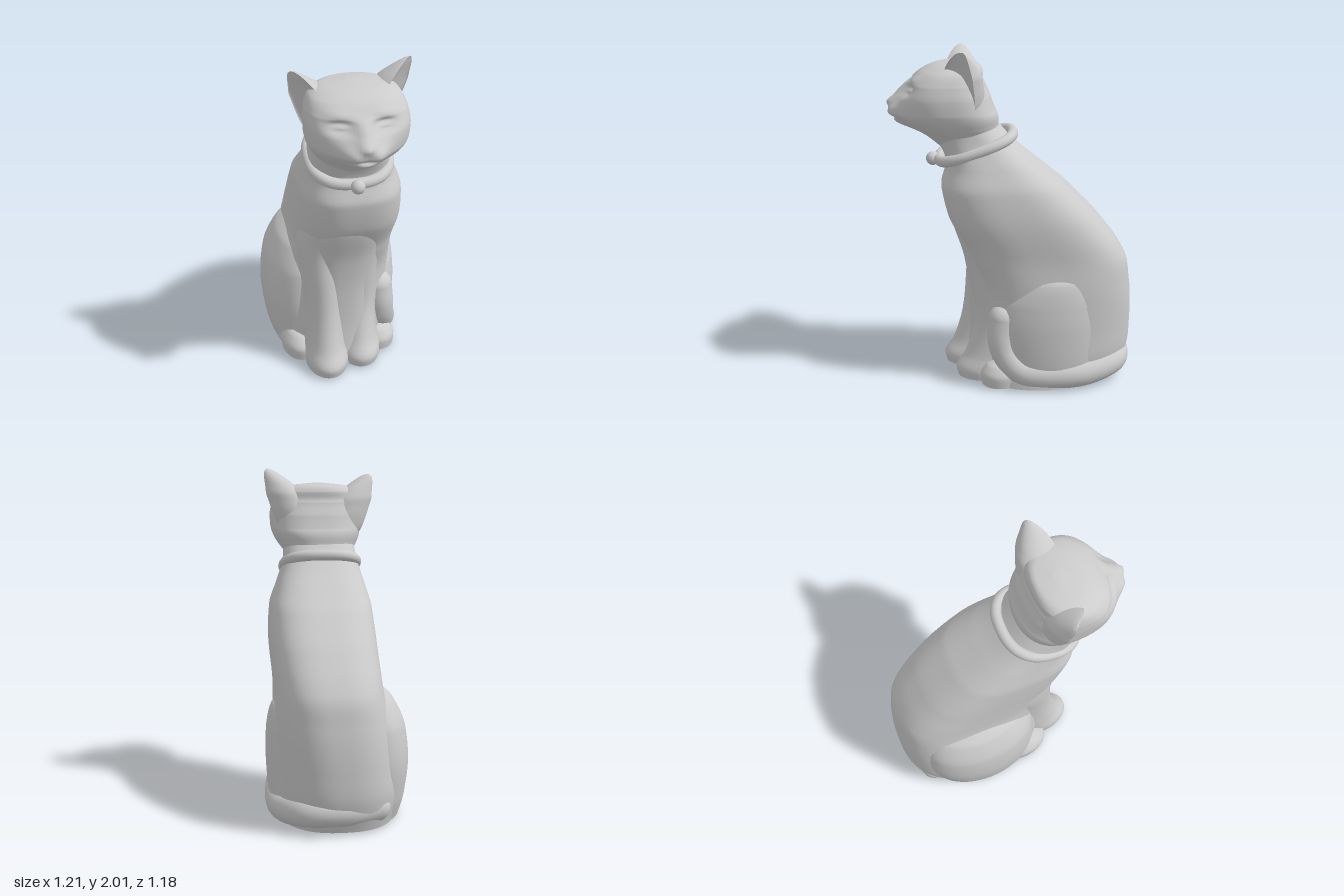
import * as THREE from 'three';

const material = new THREE.MeshStandardMaterial({ color: 0xcccccc, side: THREE.DoubleSide });

const signedPower = (v, e) => Math.sign(v) * Math.pow(Math.abs(v), e);

// Closed loft through superellipse rings [y, cx, cz, a, b, n], stacked upward.
// hollow < 1 flattens or dents the +z half of each ring; reshape may move each point.
function loft(rings, { rows = 40, cols = 48, hollow = 1, reshape = (p) => p } = {}) {
  const centres = new THREE.CatmullRomCurve3(rings.map(([y, cx, cz]) => new THREE.Vector3(cx, y, cz)));
  const sizes = new THREE.CatmullRomCurve3(rings.map(([, , , a, b, n = 2]) => new THREE.Vector3(a, b, n)));
  const pos = [], index = [];
  const ring = (t) => {
    const c = centres.getPoint(t), s = sizes.getPoint(t);
    for (let j = 0; j < cols; j++) {
      const th = (j / cols) * Math.PI * 2;
      const x = c.x + s.x * signedPower(Math.cos(th), 2 / s.z);
      const dz = s.y * signedPower(Math.sin(th), 2 / s.z);
      pos.push(...reshape([x, c.y, c.z + dz * (dz > 0 ? hollow : 1)]));
    }
    return c;
  };
  for (let i = 0; i <= rows; i++) ring(i / rows);
  for (let i = 0; i < rows; i++) {
    for (let j = 0; j < cols; j++) {
      const k = (j + 1) % cols;
      const p = i * cols + j, q = i * cols + k;
      index.push(p, p + cols, q, q, p + cols, q + cols);
    }
  }
  // Caps with their own vertices, so the base edge stays sharp
  for (const t of [0, 1]) {
    const start = pos.length / 3;
    const c = ring(t);
    pos.push(c.x, c.y, c.z);
    for (let j = 0; j < cols; j++) {
      const k = (j + 1) % cols;
      index.push(start + cols, start + (t ? k : j), start + (t ? j : k));
    }
  }
  const geometry = new THREE.BufferGeometry();
  geometry.setAttribute('position', new THREE.Float32BufferAttribute(pos, 3));
  geometry.setIndex(index);
  geometry.computeVertexNormals();
  return geometry;
}

// Relief of the face: [x, y, width, height, depth], mirrored where x > 0
const faceRelief = [
  [0, 1.635, 0.15, 0.08, 0.065],      // muzzle
  [0.065, 1.64, 0.055, 0.045, 0.035], // whisker pads
  [0, 1.69, 0.04, 0.03, 0.04],        // nose
  [0, 1.755, 0.05, 0.06, 0.04],       // nose bridge
  [0.115, 1.765, 0.06, 0.032, -0.035], // eye sockets
  [0.115, 1.762, 0.038, 0.012, 0.02], // closed eyelids
  [0.12, 1.82, 0.08, 0.03, 0.02],     // brows
  [0, 1.602, 0.075, 0.012, -0.022],   // mouth
  [0, 1.565, 0.08, 0.035, 0.05],      // chin
];

function sculptFace([x, y, z]) {
  const front = THREE.MathUtils.smoothstep(z, 0.42, 0.6);
  let depth = 0;
  for (const [bx, by, w, h, d] of faceRelief) {
    const dx = (bx > 0 ? Math.abs(x) : x) - bx;
    depth += d * Math.exp(-((dx / w) ** 2) - ((y - by) / h) ** 2);
  }
  return [x, y, z + front * depth];
}

export function createModel() {
  const model = new THREE.Group();
  model.name = 'seatedCat';
  const cat = new THREE.Group();
  cat.name = 'catBody';
  cat.rotation.y = Math.PI / 4; // the cat looks along the diagonal
  model.add(cat);

  const add = (name, geometry) => {
    const mesh = new THREE.Mesh(geometry, material);
    mesh.name = name;
    cat.add(mesh);
    return mesh;
  };
  const ball = (name, p, r) => add(name, new THREE.SphereGeometry(r, 24, 16)).position.set(...p);

  // Torso and neck, with a broad flat back
  add('torso', loft([
    [0, -0.03, -0.16, 0.34, 0.43, 2.4],
    [0.15, -0.03, -0.18, 0.36, 0.46, 2.4],
    [0.35, -0.02, -0.19, 0.35, 0.465, 2.5],
    [0.6, 0, -0.185, 0.33, 0.455, 2.7],
    [0.8, 0.015, -0.125, 0.31, 0.462, 2.9],
    [1.0, 0.025, 0, 0.312, 0.44, 2.9],
    [1.2, 0.02, 0.12, 0.3, 0.365, 2.9],
    [1.33, 0.01, 0.185, 0.262, 0.268, 2.8],
    [1.45, 0, 0.275, 0.228, 0.218, 2.6],
    [1.58, 0, 0.37, 0.215, 0.2, 2.3],
  ], { rows: 80, cols: 80 }));

  // Chest running down between the front legs
  add('chest', loft([
    [0, -0.02, 0.15, 0.2, 0.21, 2.4], [0.25, -0.02, 0.13, 0.19, 0.2, 2.4],
    [0.5, -0.02, 0.13, 0.195, 0.2, 2.4], [0.75, -0.01, 0.14, 0.23, 0.22, 2.4],
    [1.0, 0, 0.16, 0.24, 0.27, 2.4], [1.15, 0, 0.16, 0.2, 0.25, 2.4],
  ]));

  // Low base joining the paws
  add('base', loft([
    [0, -0.02, -0.1, 0.38, 0.44], [0.05, -0.02, -0.1, 0.375, 0.435], [0.1, -0.02, -0.1, 0.33, 0.4],
  ], { rows: 10 }));

  // Haunches: the right one is fuller, the left one sits further forward
  add('rightHaunch', loft([
    [0, -0.23, -0.16, 0.18, 0.3], [0.12, -0.24, -0.17, 0.2, 0.335],
    [0.35, -0.25, -0.18, 0.21, 0.36], [0.55, -0.235, -0.18, 0.2, 0.35],
    [0.7, -0.2, -0.18, 0.16, 0.29], [0.8, -0.17, -0.18, 0.06, 0.12],
  ]));
  add('leftHaunch', loft([
    [0, 0.14, -0.16, 0.19, 0.31], [0.12, 0.16, -0.15, 0.2, 0.33],
    [0.35, 0.17, -0.14, 0.205, 0.335], [0.52, 0.17, -0.15, 0.2, 0.31],
    [0.66, 0.17, -0.18, 0.17, 0.23], [0.74, 0.16, -0.2, 0.06, 0.1],
  ]));

  // Hind paws
  const paw = (name, x, z, a, b, h) => add(name, loft([
    [0, x, z, a * 0.95, b * 0.95], [h * 0.4, x, z, a, b],
    [h * 0.8, x, z, a * 0.7, b * 0.7], [h, x, z, a * 0.15, b * 0.15],
  ], { rows: 20, cols: 32 }));
  paw('rightHindPaw', -0.26, 0.1, 0.12, 0.18, 0.17);
  paw('leftHindPaw', 0.22, 0.15, 0.11, 0.12, 0.15);

  // Front legs with paws: the right one stands slightly forward
  for (const [name, x, dz] of [['rightFrontLeg', -0.13, 0.06], ['leftFrontLeg', 0.085, -0.01]]) {
    add(name, loft([
      [0, x, 0.235 + dz, 0.125, 0.18], [0.06, x, 0.235 + dz, 0.13, 0.19],
      [0.15, x, 0.18 + dz, 0.122, 0.19], [0.35, x, 0.13 + dz, 0.118, 0.18],
      [0.6, x * 1.05, 0.13 + dz / 2, 0.125, 0.185], [0.8, x * 1.1, 0.145, 0.135, 0.19],
      [0.97, x, 0.17, 0.125, 0.2], [1.12, x * 0.8, 0.18, 0.09, 0.18],
    ]));
  }

  // Tail wrapped round the base, its end rising beside the left haunch
  const tailPath = new THREE.CatmullRomCurve3([
    [-0.22, 0.115, -0.5], [-0.03, 0.115, -0.56], [0.17, 0.11, -0.53], [0.28, 0.08, -0.34],
    [0.295, 0.075, -0.12], [0.28, 0.1, 0.03], [0.25, 0.2, 0.12], [0.24, 0.3, 0.145], [0.23, 0.42, 0.135],
  ].map((p) => new THREE.Vector3(...p)));
  add('tail', new THREE.TubeGeometry(tailPath, 80, 0.085, 20));
  ball('tailTip', [0.23, 0.42, 0.135], 0.085);
  ball('tailRoot', [-0.22, 0.115, -0.5], 0.085);

  // Collar and bell
  const collarPath = new THREE.CatmullRomCurve3(Array.from({ length: 32 }, (_, i) => {
    const t = ((i + 0.5) / 32) * Math.PI * 2;
    const across = signedPower(Math.cos(t), 0.8), along = signedPower(Math.sin(t), 0.8);
    return new THREE.Vector3(0.222 * across, 1.42 - 0.075 * along, 0.278 + 0.215 * along);
  }), true);
  add('collar', new THREE.TubeGeometry(collarPath, 96, 0.032, 14, true));
  ball('bell', [0.005, 1.345, 0.53], 0.04);

  // Head with the face worked into its surface and a flat nape
  add('head', loft([
    [1.4, 0, 0.32, 0.15, 0.14], [1.49, 0, 0.355, 0.205, 0.205, 2.2],
    [1.56, 0.005, 0.395, 0.25, 0.25, 2.3], [1.64, 0.01, 0.425, 0.278, 0.262, 2.5],
    [1.72, 0.01, 0.44, 0.282, 0.25, 2.5], [1.8, 0.005, 0.435, 0.272, 0.21, 2.5],
    [1.865, 0, 0.41, 0.24, 0.175, 2.3], [1.9, 0, 0.385, 0.17, 0.12, 2.1],
    [1.915, 0, 0.375, 0.03, 0.02],
  ], { rows: 110, cols: 120, reshape: sculptFace }));

  // Ears: cones with a hollow front, turned outward
  for (const s of [-1, 1]) {
    const ear = add(s > 0 ? 'leftEar' : 'rightEar', loft([
      [1.56, -s * 0.15, 0.36, 0.06, 0.11], [1.65, -s * 0.12, 0.385, 0.1, 0.14],
      [1.74, -s * 0.11, 0.41, 0.115, 0.16], [1.82, -s * 0.1, 0.435, 0.118, 0.16],
      [1.89, -s * 0.08, 0.452, 0.095, 0.12], [1.94, -s * 0.057, 0.465, 0.066, 0.07],
      [1.97, -s * 0.04, 0.47, 0.038, 0.032], [1.982, -s * 0.032, 0.472, 0.014, 0.012],
    ], { rows: 34, cols: 40, hollow: -0.15 }));
    ear.rotation.y = s * Math.PI / 4;
    ear.position.y = s > 0 ? 0.018 : -0.015;
  }
  return model;
}
